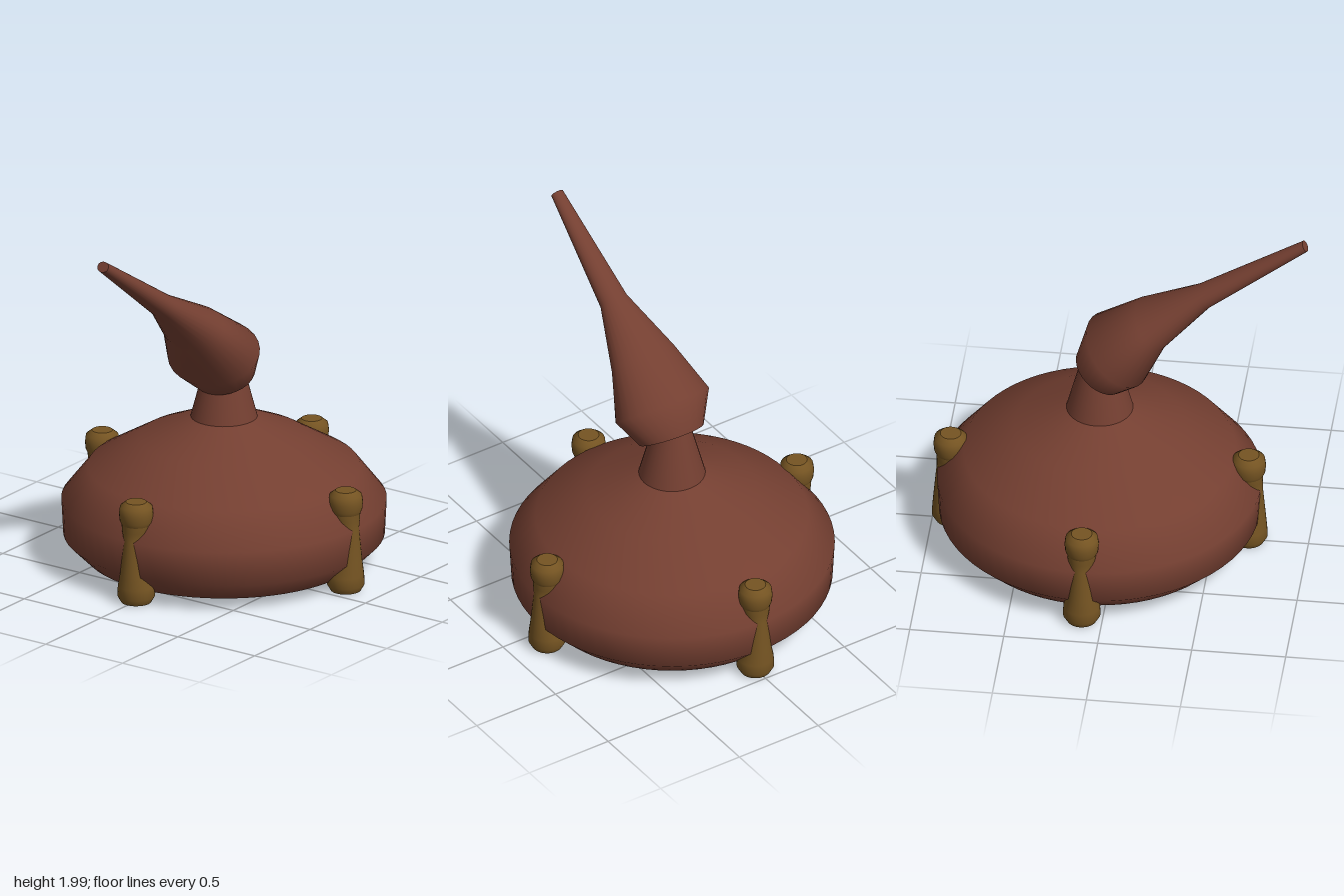
import * as THREE from 'three';

const SIDES = 28;

// Smooth skin through elliptical rings { c: centre, u, v: half axes }, with flat end caps.
// The rings must advance along u x v.
function loft(rings) {
  const pos = [], index = [];
  const addRing = ({ c, u, v }) => {
    const start = pos.length / 3;
    for (let j = 0; j < SIDES; j++) {
      const a = (j / SIDES) * Math.PI * 2;
      const p = c.clone().addScaledVector(u, Math.cos(a)).addScaledVector(v, Math.sin(a));
      pos.push(p.x, p.y, p.z);
    }
    return start;
  };
  const starts = rings.map(addRing);
  for (let i = 0; i < rings.length - 1; i++) {
    for (let j = 0; j < SIDES; j++) {
      const k = (j + 1) % SIDES;
      const a = starts[i] + j, b = starts[i] + k, c = starts[i + 1] + j, d = starts[i + 1] + k;
      index.push(a, b, c, b, d, c);
    }
  }
  const cap = (ring, top) => {
    const s = addRing(ring), m = pos.length / 3;
    pos.push(ring.c.x, ring.c.y, ring.c.z);
    for (let j = 0; j < SIDES; j++) {
      const k = (j + 1) % SIDES;
      if (top) index.push(m, s + j, s + k);
      else index.push(m, s + k, s + j);
    }
  };
  cap(rings[0], false);
  cap(rings[rings.length - 1], true);
  const g = new THREE.BufferGeometry();
  g.setAttribute('position', new THREE.Float32BufferAttribute(pos, 3));
  g.setIndex(index);
  g.computeVertexNormals();
  return g;
}

export function createModel() {
  const model = new THREE.Group();
  model.name = 'spoutedVessel';
  const copper = new THREE.MeshStandardMaterial({ color: 0x743f31 });
  copper.name = 'reddish brown';
  const brass = new THREE.MeshStandardMaterial({ color: 0x755422 });
  brass.name = 'dull gold';

  const add = (parent, name, geometry, material) => {
    const mesh = new THREE.Mesh(geometry, material);
    mesh.name = name;
    parent.add(mesh);
    return mesh;
  };

  // Pot, neck and feet share one vertical axis behind the middle
  const base = new THREE.Group();
  base.name = 'base';
  base.position.z = -0.11;
  model.add(base);

  // Squat round pot
  const profile = [
    [0.58, 0.005], [0.74, 0.05], [0.85, 0.16], [0.86, 0.35],
    [0.72, 0.53], [0.45, 0.69], [0.17, 0.812],
  ].map(([r, y]) => new THREE.Vector2(r, y));
  add(base, 'pot', new THREE.LatheGeometry(profile, 64), copper);
  const floor = add(base, 'potBottom', new THREE.CircleGeometry(0.58, 64), copper);
  floor.rotation.x = Math.PI / 2;
  floor.position.y = 0.005;

  // Tapered neck
  const neck = add(base, 'neck', new THREE.CylinderGeometry(0.095, 0.177, 0.31, 32), copper);
  neck.position.y = 0.965;

  // Spouted head: lower and upper edge (z, y) of each ring, then its half width
  const head = [
    [0.025, 0.97, -0.235, 1.13, 0.185],
    [0.145, 1.06, -0.18, 1.32, 0.277],
    [0.25, 1.28, 0.08, 1.485, 0.19],
    [0.48, 1.535, 0.41, 1.645, 0.08],
    [0.998, 1.942, 0.968, 1.992, 0.035],
  ].map(([z0, y0, z1, y1, w]) => ({
    c: new THREE.Vector3(0, (y0 + y1) / 2, (z0 + z1) / 2),
    u: new THREE.Vector3(w, 0, 0),
    v: new THREE.Vector3(0, (y1 - y0) / 2, (z1 - z0) / 2),
  }));
  add(model, 'spoutedHead', loft(head), copper);

  // Feet: height, radius and outward shift of each ring
  const footRings = (rows) => rows.map(([y, r, shift]) => ({
    c: new THREE.Vector3(shift, y, 0),
    u: new THREE.Vector3(r, 0, 0),
    v: new THREE.Vector3(0, 0, -r),
  }));
  const shaft = loft(footRings([
    [0, 0.08, 0], [0.035, 0.1, 0], [0.09, 0.097, 0], [0.17, 0.075, 0.015],
    [0.35, 0.052, 0.022], [0.4, 0.075, 0], [0.45, 0.078, 0],
  ]));
  const knob = loft(footRings([
    [0.435, 0.078, 0], [0.455, 0.087, 0], [0.495, 0.091, 0], [0.535, 0.086, 0], [0.56, 0.055, 0],
  ]));
  ['left', 'back', 'right', 'front'].forEach((side, i) => {
    const pivot = new THREE.Group();
    pivot.name = side + 'Foot';
    pivot.rotation.y = (i * Math.PI) / 2;
    add(pivot, 'footShaft', shaft, brass).position.x = 0.793;
    add(pivot, 'footKnob', knob, brass).position.x = 0.793;
    base.add(pivot);
  });

  return model;
}
